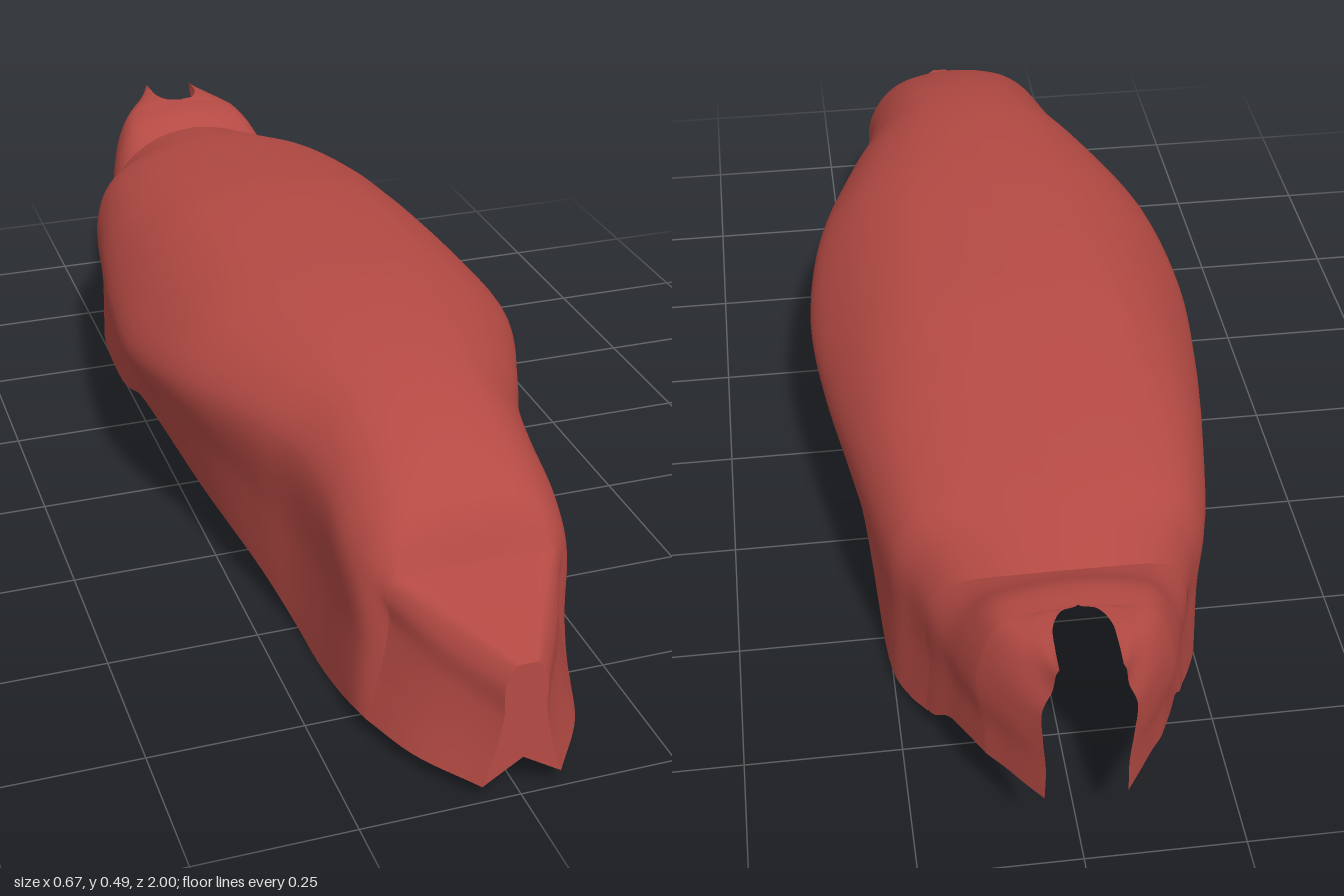
import * as THREE from 'three';
import { mergeVertices } from 'three/addons/utils/BufferGeometryUtils.js';

// Station: [z, topY, shoulderX, shoulderY, ridgeX, ridgeY, hemX, hemY, notchX, rimSweep]
const bodyRows = [
  [0.80, 0.28, 0.124, 0.272, 0.135, 0.20, 0.168, 0.03],
  [0.765, 0.35, 0.115, 0.33, 0.165, 0.24, 0.176, 0.03],
  [0.70, 0.402, 0.105, 0.38, 0.176, 0.285, 0.178, 0.015],
  [0.60, 0.442, 0.105, 0.42, 0.178, 0.325, 0.18, 0.002],
  [0.50, 0.467, 0.11, 0.445, 0.195, 0.345, 0.187, 0.015],
  [0.40, 0.482, 0.125, 0.46, 0.235, 0.35, 0.21, 0.055],
  [0.20, 0.495, 0.155, 0.472, 0.308, 0.335, 0.255, 0.108],
  [0.00, 0.493, 0.175, 0.468, 0.337, 0.30, 0.268, 0.112],
  [-0.20, 0.485, 0.185, 0.455, 0.322, 0.293, 0.27, 0.09],
  [-0.30, 0.474, 0.185, 0.443, 0.307, 0.302, 0.265, 0.05],
  [-0.40, 0.46, 0.185, 0.43, 0.29, 0.31, 0.262, 0.022],
  [-0.60, 0.43, 0.175, 0.395, 0.25, 0.295, 0.25, 0.02],
  [-0.70, 0.408, 0.155, 0.37, 0.22, 0.28, 0.228, 0.025, 0, 0.04],
  [-0.78, 0.387, 0.13, 0.357, 0.203, 0.27, 0.205, 0.042, 0, 0.07],
];
const noseRows = [
  [0.80, 0.28, 0.124, 0.272, 0.135, 0.20, 0.168, 0.03],
  [0.90, 0.258, 0.068, 0.253, 0.092, 0.17, 0.13, 0.03],
  [1.00, 0.235, 0.016, 0.234, 0.033, 0.15, 0.062, 0.03],
];
const tailRows = [
  [-0.68, 0.355, 0.13, 0.33, 0.208, 0.265, 0.215, 0.036],
  [-0.73, 0.366, 0.128, 0.342, 0.196, 0.265, 0.199, 0.055],
  [-0.78, 0.384, 0.125, 0.358, 0.179, 0.262, 0.178, 0.10],
  [-0.83, 0.407, 0.12, 0.382, 0.166, 0.265, 0.16, 0.12],
  [-0.88, 0.413, 0.112, 0.39, 0.15, 0.27, 0.138, 0.13],
  [-0.89, 0.413, 0.109, 0.39, 0.145, 0.27, 0.133, 0.131, 0.026],
  [-0.92, 0.413, 0.098, 0.388, 0.126, 0.27, 0.112, 0.135, 0.042],
  [-0.96, 0.412, 0.078, 0.38, 0.098, 0.27, 0.087, 0.14, 0.045],
  [-1.00, 0.41, 0.054, 0.37, 0.066, 0.27, 0.062, 0.147, 0.045],
];

// Half cross-section control points, from spine to hem
function controls([z, top, sx, sy, rx, ry, hx, hy, n = 0, sweep = 0]) {
  const flare = THREE.MathUtils.clamp((rx - 0.2) / 0.12, 0, 1);
  return [
    [n, top],
    [n + (sx - n) * 0.5, top - (top - sy) * 0.25],
    [sx, sy],
    [(sx + rx) / 2 + 0.008 + 0.007 * flare, (sy + ry) / 2 + 0.01 + 0.008 * flare],
    [rx, ry],
    [(rx + hx) / 2 - 0.003, (ry + hy) / 2],
    [hx, hy],
  ].map(([x, y]) => new THREE.Vector3(x, y, z + sweep * Math.min(1, (x / 0.2) ** 2)));
}

// Smooth open shell lofted through the stations, mirrored about x = 0
function shell(rows, perSpan = 5, around = 36) {
  const grid = rows.map(controls);
  const rails = grid[0].map((_, j) => new THREE.CatmullRomCurve3(grid.map((s) => s[j])));
  const steps = (rows.length - 1) * perSpan;
  const positions = [];
  const index = [];
  for (const side of [1, -1]) {
    const base = positions.length / 3;
    for (let i = 0; i <= steps; i++) {
      const section = new THREE.CatmullRomCurve3(rails.map((r) => r.getPoint(i / steps)));
      for (let j = 0; j <= around; j++) {
        const p = section.getPoint(j / around);
        positions.push(side * Math.max(p.x, 0), Math.max(p.y, 0), p.z);
      }
    }
    for (let i = 0; i < steps; i++) {
      for (let j = 0; j < around; j++) {
        const a = base + i * (around + 1) + j;
        const b = a + 1;
        const c = a + around + 1;
        const d = c + 1;
        if (side > 0) index.push(a, b, c, b, d, c);
        else index.push(a, c, b, b, c, d);
      }
    }
  }
  let geometry = new THREE.BufferGeometry();
  geometry.setAttribute('position', new THREE.Float32BufferAttribute(positions, 3));
  geometry.setIndex(index);
  geometry = mergeVertices(geometry, 1e-5);
  geometry.computeVertexNormals();
  return geometry;
}

export function createModel() {
  const model = new THREE.Group();
  model.name = 'bodyShell';
  const red = new THREE.MeshStandardMaterial({ color: 0xb54a44, side: THREE.DoubleSide });
  red.name = 'red';

  const add = (name, geometry) => {
    const mesh = new THREE.Mesh(geometry, red);
    mesh.name = name;
    model.add(mesh);
    return mesh;
  };

  add('mainShell', shell(bodyRows));
  add('frontNose', shell(noseRows, 8));
  add('rearTailGuard', shell(tailRows));

  // Flat plate closing the nose, with a notched lower edge
  const half = new THREE.CatmullRomCurve3(controls(noseRows[noseRows.length - 1])).getPoints(36);
  const outline = half.map((p) => new THREE.Vector2(p.x, p.y));
  const mirrored = outline.slice(1).reverse().map((p) => new THREE.Vector2(-p.x, p.y));
  const plate = new THREE.Shape([new THREE.Vector2(0, 0.07), ...mirrored, ...outline]);
  add('nosePlate', new THREE.ShapeGeometry(plate)).position.z = 1;

  return model;
}
